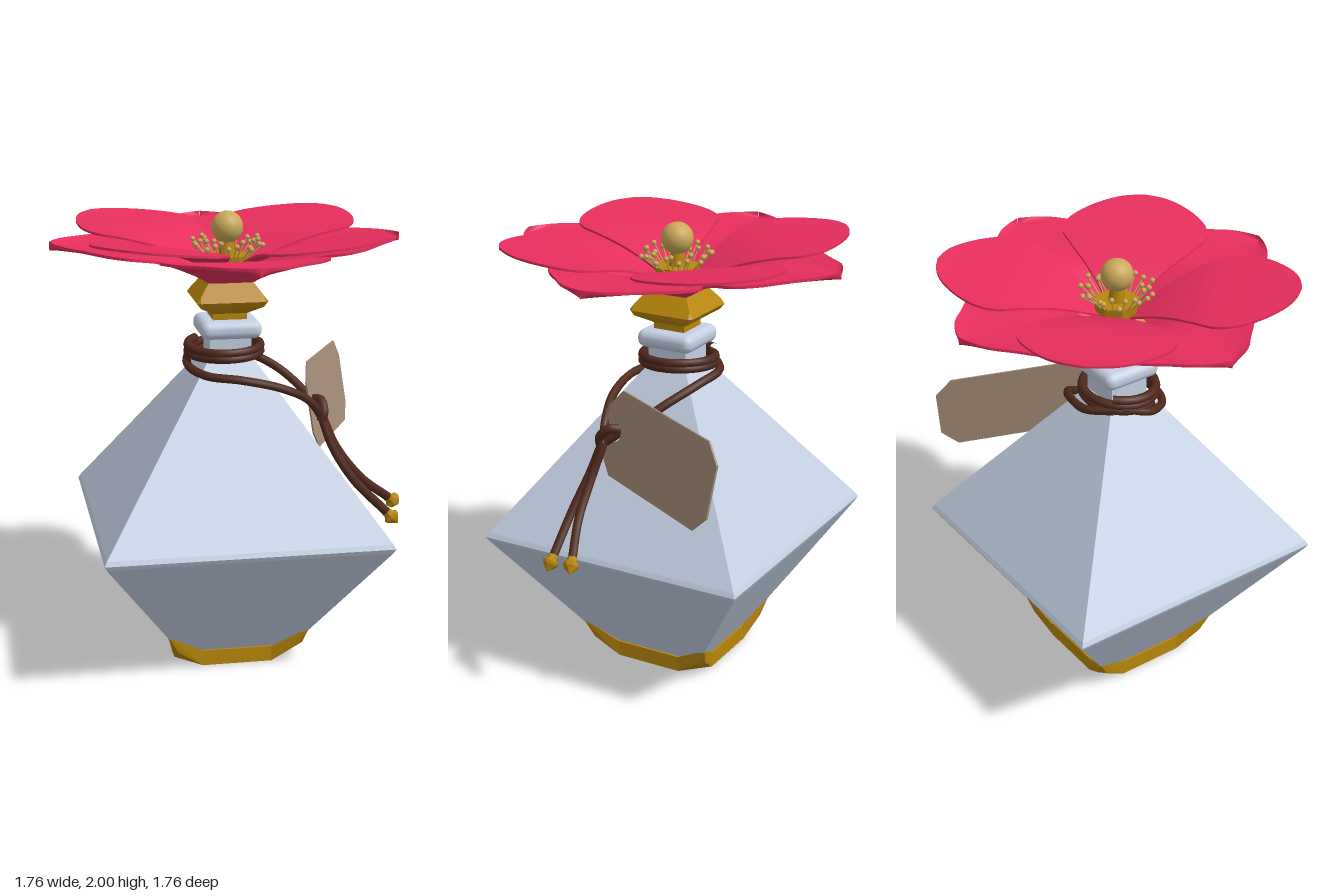
import * as THREE from 'three';
import { toCreasedNormals } from 'three/addons/utils/BufferGeometryUtils.js';
import { ConvexGeometry } from 'three/addons/geometries/ConvexGeometry.js';
import { RoundedBoxGeometry } from 'three/addons/geometries/RoundedBoxGeometry.js';

const V = (x, y, z) => new THREE.Vector3(x, y, z);
const mat = (color, opts = {}) => new THREE.MeshStandardMaterial({ color, ...opts });
const GLASS = mat(0xc3cfe2), GOLD = mat(0xb8860b), PALE = mat(0xc9a858);
const PETAL = mat(0xe62e5c, { side: THREE.DoubleSide });
const CORD = mat(0x4f281c), PAPER = mat(0xa58c78);

function add(parent, name, geometry, material) {
  const mesh = new THREE.Mesh(geometry, material);
  mesh.name = name;
  parent.add(mesh);
  return mesh;
}

// Repeats points around the y axis at the four corners and takes their hull
function hull4(points) {
  const all = [];
  for (let k = 0; k < 4; k++) {
    for (const [x, y, z = 0] of points) {
      all.push(V(x, y, z).applyAxisAngle(V(0, 1, 0), k * Math.PI / 2));
    }
  }
  return new ConvexGeometry(all);
}

// Thin petal along +z: profile rows are [distance, half width, height]
function petalGeometry(profile, lift, thick) {
  const rows = new THREE.CatmullRomCurve3(profile.map(([r, w, y]) => V(w, y, r))).getPoints(28);
  const n = 14, ring = 2 * (n + 1), pos = [], idx = [];
  rows.forEach((p, i) => {
    for (let j = 0; j < ring; j++) {
      const top = j <= n;
      const s = ((top ? j : ring - 1 - j) / n) * 2 - 1;
      const rise = lift * s * s * (i / 28);
      pos.push(Math.max(p.x, 0.001) * s, p.y + rise - (top ? 0 : thick), p.z);
      if (i < 28) {
        const a = i * ring + j, b = i * ring + (j + 1) % ring;
        idx.push(a, a + ring, b, b, a + ring, b + ring);
      }
    }
  });
  const g = new THREE.BufferGeometry();
  g.setAttribute('position', new THREE.Float32BufferAttribute(pos, 3));
  g.setIndex(idx);
  return toCreasedNormals(g, 0.7);
}

const tube = (pts, r, n) => new THREE.TubeGeometry(new THREE.CatmullRomCurve3(pts), n, r, 8);

function bottle(root) {
  // Faceted body with tiny cut corners, then neck and collar
  add(root, 'bottleBody', hull4([
    [0.14, 1.365], [0.866, 0.65], [0.88, 0.63], [0.866, 0.61],
    [0.866, 0.63, 0.014], [0.866, 0.63, -0.014], [0.32, 0.02],
  ]), GLASS);
  add(root, 'neck', hull4([[0.13, 1.3], [0.13, 1.48]]), GLASS);
  const collar = add(root, 'collar', new RoundedBoxGeometry(0.27, 0.08, 0.27, 4, 0.036), GLASS);
  collar.position.y = 1.495;
  collar.rotation.y = Math.PI / 4;

  // Gold base plate with a claw on every corner
  add(root, 'basePlate', hull4([
    [0.3, 0, 0.08], [0.3, 0, -0.08], [0.3, 0.07, 0.08], [0.3, 0.07, -0.08],
  ]), GOLD);
  for (let k = 0; k < 4; k++) {
    const claw = add(root, 'baseClaw', new ConvexGeometry([
      V(0.3, 0, 0.08), V(0.3, 0, -0.08), V(0.3, 0.07, 0.085), V(0.3, 0.07, -0.085),
      V(0.4, 0.08, 0.02), V(0.4, 0.08, -0.02), V(0.45, 0.168, 0),
    ]), GOLD);
    claw.rotation.y = k * Math.PI / 2;
  }
}

function stopper(root) {
  add(root, 'stopperFoot', hull4([[0.105, 1.52], [0.105, 1.58]]), GOLD);
  add(root, 'stopper', hull4([
    [0.1, 1.56], [0.195, 1.6], [0.195, 1.65], [0.21, 1.625, 0.012], [0.21, 1.625, -0.012], [0.1, 1.74],
  ]), GOLD);
}

function flower(root) {
  const g = new THREE.Group();
  g.name = 'flower';
  root.add(g);
  const upper = petalGeometry([
    [0.04, 0.04, 1.75], [0.15, 0.11, 1.805], [0.25, 0.185, 1.85], [0.36, 0.27, 1.885], [0.45, 0.32, 1.9],
    [0.54, 0.31, 1.91], [0.64, 0.245, 1.922], [0.72, 0.155, 1.932], [0.755, 0.08, 1.938], [0.77, 0, 1.94],
  ], 0, 0.01);
  const lower = petalGeometry([
    [0.07, 0.07, 1.69], [0.13, 0.13, 1.735], [0.22, 0.22, 1.785], [0.34, 0.31, 1.835], [0.45, 0.355, 1.853],
    [0.54, 0.3, 1.855], [0.64, 0.2, 1.86], [0.71, 0.13, 1.862], [0.75, 0.06, 1.862], [0.77, 0, 1.862],
  ], 0.025, 0.012);
  for (let k = 0; k < 4; k++) {
    add(g, 'upperPetal', upper, PETAL).rotation.y = k * Math.PI / 2;
    add(g, 'lowerPetal', lower, PETAL).rotation.y = (k + 0.5) * Math.PI / 2;
  }
  // Heart of the flower: disc, stem, ball and stamens
  const disc = new THREE.CylinderGeometry(0.1, 0.085, 0.1, 8).toNonIndexed();
  disc.computeVertexNormals();
  const heart = add(g, 'heartDisc', disc, GOLD);
  heart.position.y = 1.76;
  heart.rotation.y = Math.PI / 8;
  add(g, 'ballStem', new THREE.CylinderGeometry(0.025, 0.04, 0.12, 12), GOLD).position.y = 1.85;
  add(g, 'ball', new THREE.SphereGeometry(0.07, 24, 16), PALE).position.y = 1.93;
  const bead = new THREE.SphereGeometry(0.012, 8, 6);
  for (let k = 0; k < 28; k++) {
    const a = k * Math.PI / 14, r = [0.12, 0.15, 0.135, 0.155][k % 4], y = 1.865 + 0.015 * (k % 3 - 1);
    const tip = V(r * Math.sin(a), y, r * Math.cos(a));
    add(g, 'stamenTip', bead, PALE).position.copy(tip);
    const root0 = V(0.08 * Math.sin(a), 1.79, 0.08 * Math.cos(a));
    add(g, 'stamen', new THREE.TubeGeometry(new THREE.LineCurve3(root0, tip), 1, 0.003, 5), PALE);
  }
}

function cordAndTag(root) {
  // Two coils round the neck
  const coil = [];
  for (let i = 0; i <= 56; i++) {
    const t = i / 56, a = Math.PI + t * Math.PI * 4.4;
    coil.push(V(0.16 * Math.sin(a) - 0.01, 1.42 - 0.055 * t + 0.01 * Math.sin(a), 0.16 * Math.cos(a) - 0.01));
  }
  add(root, 'cordCoil', tube(coil, 0.02, 130), CORD);

  // Two strands meeting at the knot
  add(root, 'cordStrandLeft', tube([
    V(-0.05, 1.38, -0.17), V(-0.16, 1.335, -0.1), V(-0.195, 1.308, 0.03), V(-0.13, 1.295, 0.17),
    V(0, 1.25, 0.29), V(0.12, 1.18, 0.355), V(0.19, 1.09, 0.385),
  ], 0.019, 50), CORD);
  add(root, 'cordStrandRight', tube([
    V(-0.02, 1.37, -0.18), V(0.11, 1.355, -0.16), V(0.2, 1.33, -0.04), V(0.24, 1.275, 0.1),
    V(0.24, 1.2, 0.23), V(0.215, 1.15, 0.31), V(0.18, 1.09, 0.385),
  ], 0.019, 50), CORD);
  add(root, 'knotLoop', tube([
    V(0.21, 1.16, 0.31), V(0.205, 1.165, 0.36), V(0.18, 1.12, 0.395), V(0.17, 1.08, 0.39),
  ], 0.022, 16), CORD);

  // Tails with pointed gold ends
  const point = new THREE.LatheGeometry([
    [0, -0.01], [0.022, -0.01], [0.024, 0.012], [0.037, 0.022], [0.033, 0.035], [0, 0.07],
  ].map(([x, y]) => new THREE.Vector2(x, y)).reverse(), 8);
  point.scale(1, 1, 1);
  const pointGeo = toCreasedNormals(point, 0.3);
  const goldEnd = mat(0xb8860b, { side: THREE.DoubleSide });
  const tails = [
    [V(0.18, 1.1, 0.385), V(0.185, 0.97, 0.44), V(0.225, 0.82, 0.53), V(0.335, 0.655, 0.645)],
    [V(0.19, 1.1, 0.38), V(0.215, 0.96, 0.44), V(0.3, 0.81, 0.52), V(0.45, 0.685, 0.585)],
  ];
  for (const pts of tails) {
    add(root, 'cordTail', tube(pts, 0.02, 30), CORD);
    const end = add(root, 'cordEnd', pointGeo, goldEnd);
    const dir = new THREE.CatmullRomCurve3(pts).getTangent(1);
    end.position.copy(pts[3]);
    end.quaternion.setFromUnitVectors(V(0, 1, 0), dir);
  }

  // Paper tag: clipped corners and a hole, slanted back by a shear
  const shape = new THREE.Shape([
    [0.13, 1.25], [0.2, 1.33], [0.77, 1.29], [0.84, 1.21],
    [0.84, 0.985], [0.77, 0.91], [0.2, 0.95], [0.13, 1.03],
  ].map(([x, y]) => new THREE.Vector2(x, y)));
  shape.holes.push(new THREE.Path().absarc(0.2, 1.14, 0.035, 0, Math.PI * 2, true));
  const tag = new THREE.ExtrudeGeometry(shape, { depth: 0.008, bevelEnabled: false, curveSegments: 10 });
  const p = tag.attributes.position;
  for (let i = 0; i < p.count; i++) {
    p.setZ(i, p.getZ(i) + 0.286 - 0.386 * (p.getX(i) - 0.2) - 0.19 * (p.getY(i) - 1.33));
  }
  tag.computeVertexNormals();
  add(root, 'tag', tag, PAPER);
}

export function createModel() {
  const root = new THREE.Group();
  root.name = 'flowerBottle';
  bottle(root);
  stopper(root);
  flower(root);
  cordAndTag(root);
  return root;
}
